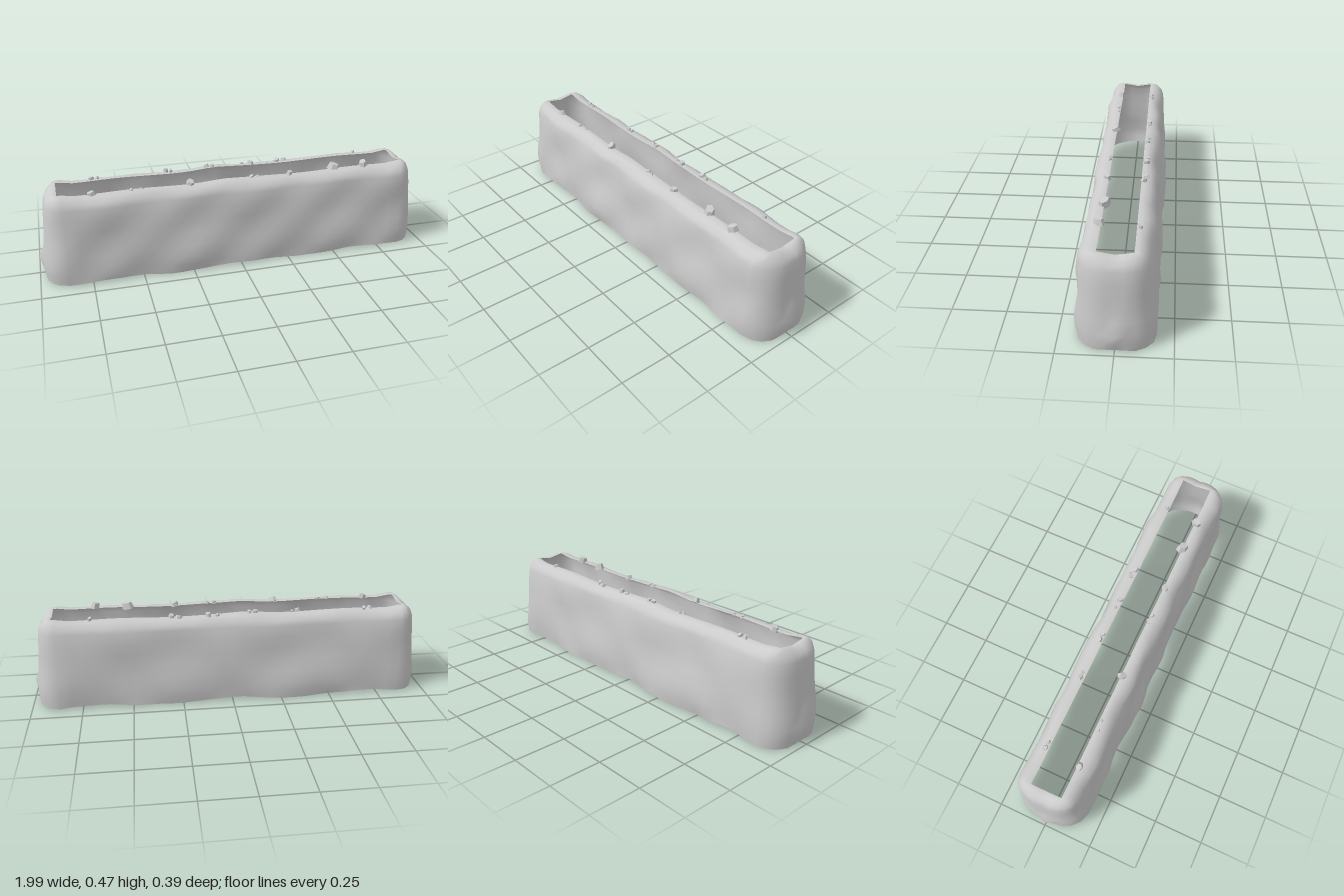
import * as THREE from 'three';

// Height, half-width, half-length and squareness of each ring, from ground to rim
const LEVELS = [
  [0.00, 0.174, 0.975, 0], [0.045, 0.177, 0.98, 0], [0.09, 0.178, 0.98, 0],
  [0.15, 0.174, 0.972, 0], [0.21, 0.166, 0.965, 0], [0.27, 0.162, 0.96, 0],
  [0.33, 0.159, 0.955, 0], [0.385, 0.152, 0.948, 0], [0.412, 0.142, 0.935, 0.05],
  [0.432, 0.118, 0.912, 0.3], [0.438, 0.095, 0.892, 0.7], [0.436, 0.077, 0.88, 1],
];
const SPAN = 28;
const END = [[0, 1], [0.42, 0.91], [0.72, 0.73], [0.9, 0.5], [0.97, 0.25], [1, 0]];

// One quarter-symmetric outline: front, right end, back, left end
function outline(w, e, square) {
  const xc = 0.86;
  const side = Array.from({ length: SPAN }, (_, i) => [-xc + (2 * xc * i) / SPAN, w]);
  const quarter = END.map(([fx, fz]) => {
    const x = xc + (e - xc) * fx;
    return [THREE.MathUtils.lerp(x, fx === 0 ? xc : e, square), w * fz];
  });
  // the second point slides into the sharp corner of the rim
  quarter[1][1] = THREE.MathUtils.lerp(quarter[1][1], w, square);
  const half = [
    ...side, ...quarter,
    ...quarter.slice(0, -1).reverse().map(([x, z]) => [x, -z]),
  ].slice(0, -1);
  return [...half, ...half.map(([x, z]) => [-x, -z])];
}

// Uneven earth surface
const bump = (x, y, s) =>
  0.004 * Math.sin(9 * x + 14 * y + s * 2) +
  0.004 * Math.sin(17 * x - 19 * y + s) +
  0.003 * Math.sin(29 * x + 23 * y * s);
const bulge = (x, y) =>
  0.012 * Math.exp(-(((x + 0.3) / 0.13) ** 2) - ((y - 0.09) / 0.1) ** 2);

function rimLift(x, z) {
  const nearEnd = THREE.MathUtils.smoothstep(Math.abs(x), 0.78, 0.87);
  const middle = 0.007 * Math.exp(-(((x + 0.08) / 0.09) ** 2)) +
    0.003 * Math.sin(11 * x + 1 + (z < 0 ? 0.6 : 0)) - 0.003;
  const end = 0.006 - 0.013 * (1 - Math.min(1, Math.abs(z) / 0.08));
  return THREE.MathUtils.lerp(middle, end, nearEnd);
}

function wallGeometry() {
  const pos = [], index = [];
  let n = 0;
  LEVELS.forEach(([y, w, e, square], k) => {
    const ring = outline(w, e, square);
    n = ring.length;
    ring.forEach(([x, z]) => {
      const s = Math.sign(z);
      const fade = 1 - square;
      const along = THREE.MathUtils.clamp((1 - Math.abs(x)) / 0.15, 0, 1);
      let px = x, py = y;
      const pz = z + s * along * fade * (bump(x, y, s) + bulge(x, y));
      // small pointed ridge on each end
      if (Math.abs(z) < 1e-6) {
        px += Math.sign(x) * (0.02 * Math.exp(-(((y - 0.085) / 0.05) ** 2)) - 0.006 * fade);
      }
      if (k === 0) py = 0.007 + 0.007 * Math.cos(9.7 * (Math.abs(x) - 0.65)) * (Math.abs(x) < 0.97 ? 1 : 0);
      py += rimLift(x, z) * THREE.MathUtils.smoothstep(y, 0.38, 0.436);
      pos.push(px, py, pz);
    });
  });
  for (let k = 0; k < LEVELS.length - 1; k++) {
    for (let j = 0; j < n; j++) {
      const a = k * n + j, b = k * n + ((j + 1) % n);
      index.push(a, b, b + n, a, b + n, a + n);
    }
  }
  const g = new THREE.BufferGeometry();
  g.setAttribute('position', new THREE.Float32BufferAttribute(pos, 3));
  g.setIndex(index);
  g.computeVertexNormals();
  return g;
}

// Loose stones on the rim: x, z, radius, centre height
const STONES = [
  [-0.72, 0.087, 0.024, 0.437], [-0.53, 0.09, 0.014, 0.437], [-0.48, 0.087, 0.012, 0.437],
  [-0.24, 0.085, 0.025, 0.441], [0.07, 0.085, 0.016, 0.438], [0.1, 0.087, 0.012, 0.44],
  [0.27, 0.086, 0.022, 0.437], [0.51, 0.077, 0.034, 0.444], [0.67, 0.085, 0.029, 0.447],
  [-0.705, -0.093, 0.015, 0.443], [-0.675, -0.094, 0.014, 0.441], [-0.33, -0.095, 0.016, 0.445],
  [-0.305, -0.095, 0.012, 0.442], [-0.12, -0.093, 0.016, 0.447], [-0.09, -0.092, 0.015, 0.446],
  [0.07, -0.098, 0.014, 0.437], [0.115, -0.093, 0.02, 0.44], [0.26, -0.1, 0.019, 0.437],
  [0.295, -0.09, 0.017, 0.441], [0.69, -0.091, 0.014, 0.444],
];

export function createModel() {
  const group = new THREE.Group();
  const smooth = new THREE.MeshStandardMaterial({ color: 0xcccccc, side: THREE.DoubleSide });
  const faceted = new THREE.MeshStandardMaterial({ color: 0xcccccc, flatShading: true });

  const wall = new THREE.Mesh(wallGeometry(), smooth);
  wall.name = 'earthWall';
  group.add(wall);

  const stones = new THREE.Group();
  stones.name = 'rimStones';
  const chip = new THREE.CylinderGeometry(0.75, 1, 1.1, 6);
  STONES.forEach(([x, z, r, y], i) => {
    const stone = new THREE.Mesh(chip, faceted);
    stone.name = 'stone' + (i + 1);
    stone.position.set(x, y, z);
    stone.scale.set(r, r * 0.85, r * 0.75);
    stone.rotation.set(0.3 * Math.sin(i * 2.3), i * 1.7, 0.3 * Math.cos(i * 3.1));
    stones.add(stone);
  });
  group.add(stones);
  return group;
}
